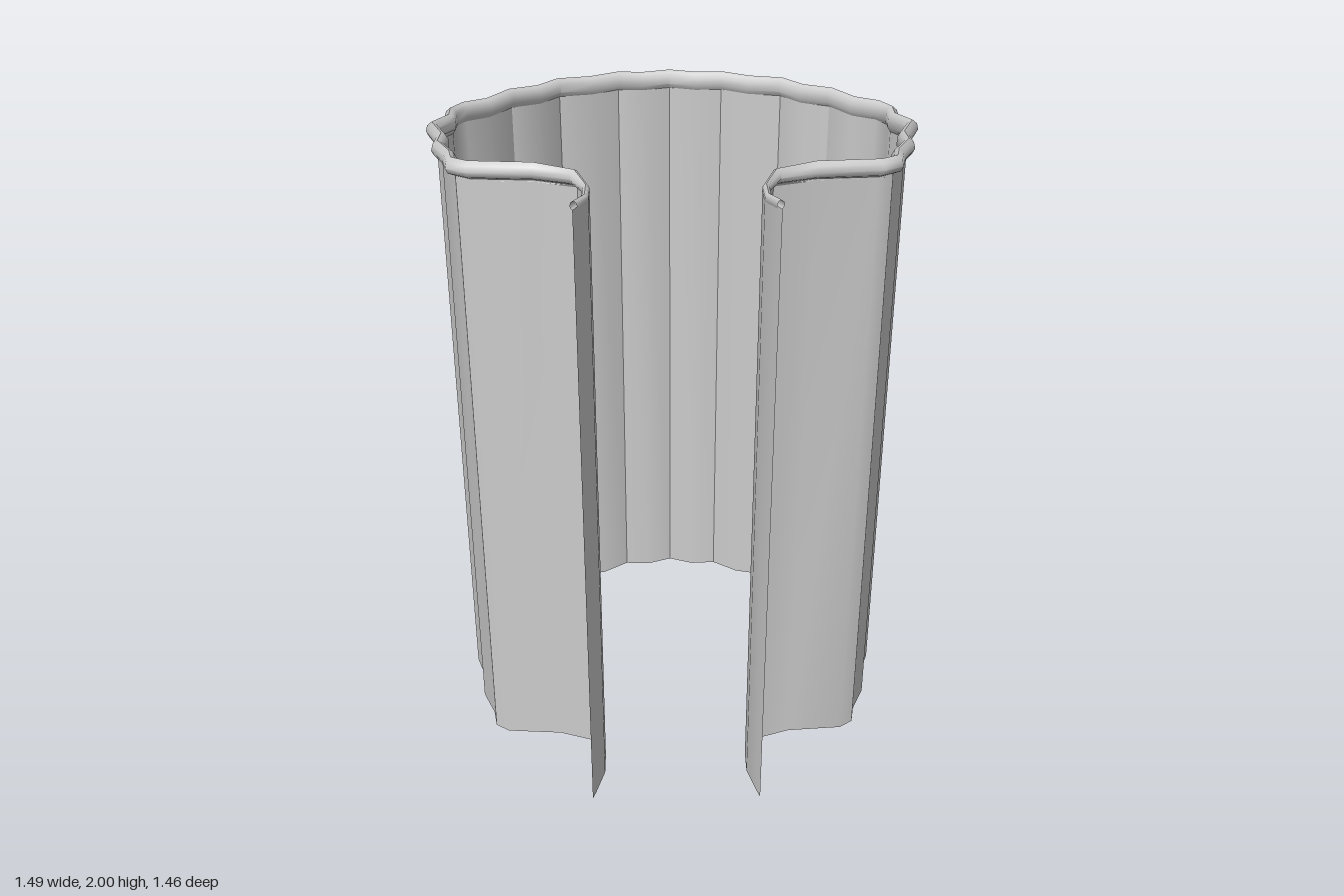
import * as THREE from 'three';
import { toCreasedNormals } from 'three/addons/utils/BufferGeometryUtils.js';

// Plan of the rim's centre line, from the back middle round to the left flange end: [x, z]
const HALF = [
  [0, -0.71], [0.09, -0.675], [0.18, -0.68], [0.27, -0.615], [0.38, -0.585], [0.44, -0.49],
  [0.53, -0.44], [0.59, -0.32], [0.66, -0.27], [0.69, -0.2], [0.685, -0.12], [0.725, -0.035],
  [0.68, 0.09], [0.68, 0.17], [0.635, 0.27], [0.62, 0.34], [0.57, 0.375], [0.39, 0.39],
  [0.275, 0.44], [0.24, 0.53], [0.24, 0.61], [0.265, 0.7],
];

// Mirror the half plan into one path running from the right flange to the left one
function fullPath(half) {
  const mirrored = half.slice(1).reverse().map(([x, z]) => [-x, z]);
  return [...mirrored, ...half];
}

// Outward mitred direction at point i of the path
function outward(path, i) {
  const p = new THREE.Vector2(...path[i]);
  const before = new THREE.Vector2(...path[Math.max(i - 1, 0)]);
  const after = new THREE.Vector2(...path[Math.min(i + 1, path.length - 1)]);
  const t = p.clone().sub(before).normalize().add(after.sub(p).normalize()).normalize();
  return [t.y, -t.x];
}

// Sweep a cross-section along the path; section(z) returns [outward offset, height] pairs
function sweep(name, path, section, crease) {
  const pos = [], idx = [];
  const n = section(0).length;
  path.forEach(([x, z], i) => {
    const [nx, nz] = outward(path, i);
    for (const [d, y] of section(z)) pos.push(x + nx * d, y, z + nz * d);
  });
  for (let i = 0; i < path.length - 1; i++) {
    for (let j = 0; j < n - 1; j++) {
      const a = i * n + j, b = a + n;
      idx.push(a, a + 1, b, b, a + 1, b + 1);
    }
  }
  const geo = new THREE.BufferGeometry();
  geo.setAttribute('position', new THREE.Float32BufferAttribute(pos, 3));
  geo.setIndex(idx);
  const material = new THREE.MeshStandardMaterial({ color: 0xcccccc, side: THREE.DoubleSide });
  const mesh = new THREE.Mesh(toCreasedNormals(geo, crease), material);
  mesh.name = name;
  return mesh;
}

export function createModel() {
  const group = new THREE.Group();
  group.name = 'flutedShell';

  // 0 on the round body, 1 on the narrow front flanges
  const flange = (z) => THREE.MathUtils.smoothstep(z, 0.37, 0.56);
  // The flange tops dip slightly and rise again at the tips
  const dip = (z) => 0.022 * flange(z) - 0.012 * THREE.MathUtils.smoothstep(z, 0.6, 0.71);

  // Thin fluted wall, reaching a little past the rim at the front
  const wallHalf = [...HALF, [0.275, 0.73]];
  group.add(sweep('wall', fullPath(wallHalf), (z) => [
    [-0.01, 0.03 * flange(z)],
    [-0.01, 1.985 - dip(z)],
  ], 0.6));

  // Rolled bead along the top edge, thinner on the flanges
  group.add(sweep('rim', fullPath(HALF), (z) => {
    const s = 1 - 0.5 * flange(z), top = 2 - dip(z);
    return [[-0.01, 0.055], [0.012, 0.045], [0.02, 0.03], [0.015, 0.012], [0, 0],
      [-0.012, 0.006], [-0.02, 0.02], [-0.02, 0.045], [-0.01, 0.06]]
      .map(([d, drop]) => [d * s, top - drop * s]);
  }, 0.9));

  return group;
}
